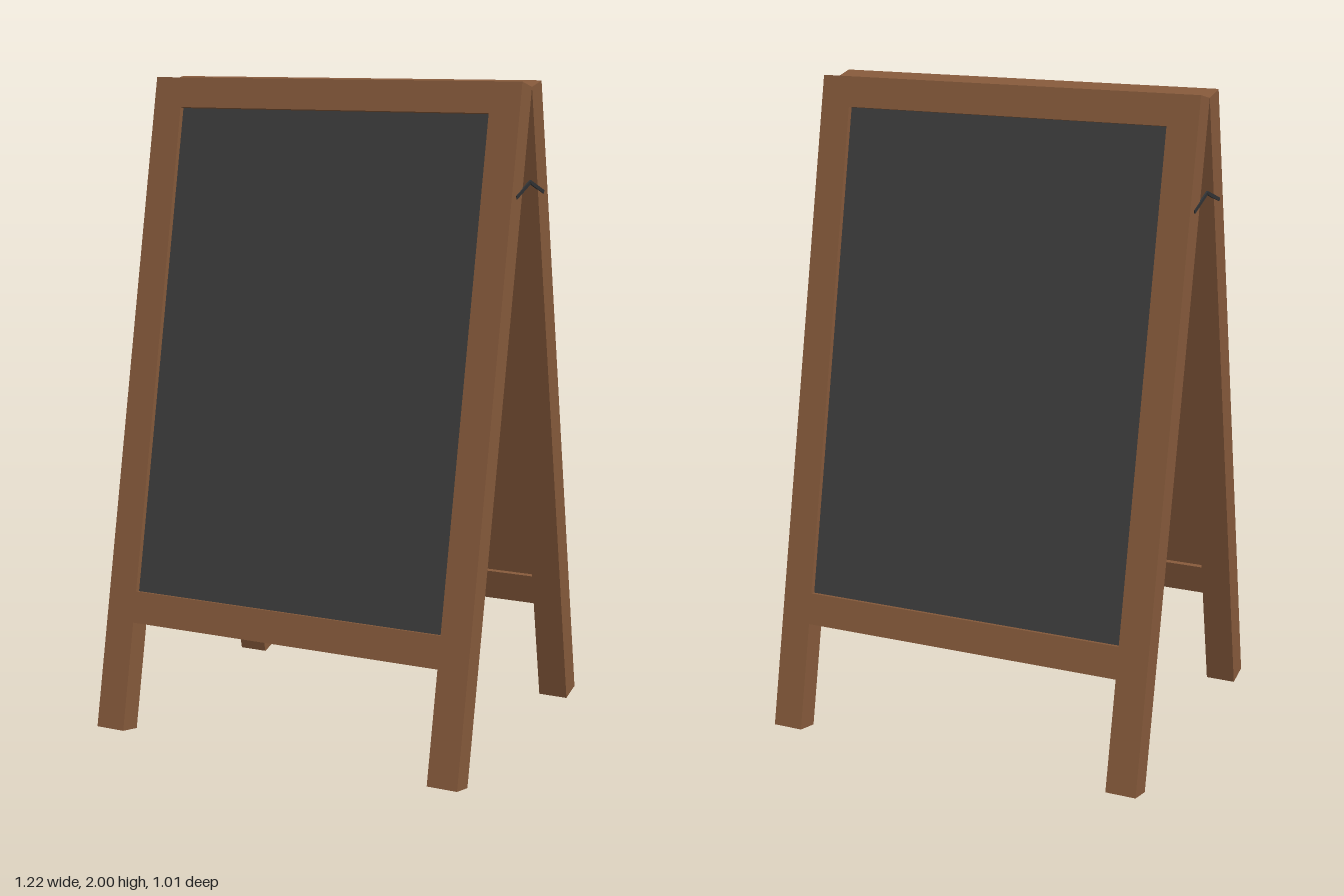
import * as THREE from 'three';

const LEAN = 0.2112, HEIGHT = 1.983, LENGTH = 2.028, THICK = 0.08;
const HALF = 0.605, INNER = 0.511; // half widths of frame and opening

export function createModel() {
  const wood = new THREE.MeshStandardMaterial({ name: 'brown wood', color: 0x865a3b });
  const slate = new THREE.MeshStandardMaterial({ name: 'slate grey', color: 0x3d3d3d });
  const metal = new THREE.MeshStandardMaterial({ name: 'dark metal', color: 0x303234 });

  const model = new THREE.Group();
  model.name = 'sandwichBoard';

  const add = (parent, name, geometry, material, x = 0, y = 0, z = 0) => {
    const mesh = new THREE.Mesh(geometry, material);
    mesh.name = name;
    mesh.position.set(x, y, z);
    parent.add(mesh);
    return mesh;
  };

  // Frame outline: two legs, top rail and bottom rail around an opening
  const railTop = -1.595, railBottom = -1.692, openTop = -0.092;
  const points = (list) => list.map(([x, y]) => new THREE.Vector2(x, y));
  const outline = new THREE.Shape(points([
    [-HALF, 0], [-HALF, -LENGTH], [-INNER, -LENGTH], [-INNER, railBottom],
    [INNER, railBottom], [INNER, -LENGTH], [HALF, -LENGTH], [HALF, 0],
  ]));
  outline.holes.push(new THREE.Path(points([
    [-INNER, openTop], [INNER, openTop], [INNER, railTop], [-INNER, railTop],
  ])));
  const frameGeometry = new THREE.ExtrudeGeometry(outline, { depth: THICK, bevelEnabled: false });

  // One leaning leaf, hinged along its inner top edge
  const openHeight = openTop - railTop, openMid = (openTop + railTop) / 2;
  const backing = new THREE.BoxGeometry(INNER * 2, openHeight, 0.04);
  const writing = new THREE.BoxGeometry(INNER * 2, openHeight, 0.008);
  for (const side of ['front', 'back']) {
    const turn = new THREE.Group();
    turn.name = side + 'Leaf';
    turn.rotation.y = side === 'front' ? 0 : Math.PI;
    const leaf = new THREE.Group();
    leaf.name = side + 'Panel';
    leaf.position.y = HEIGHT;
    leaf.rotation.x = -LEAN;
    add(leaf, 'frame', frameGeometry, wood);
    add(leaf, 'backingBoard', backing, wood, 0, openMid, 0.034);
    add(leaf, 'writingSurface', writing, slate, 0, openMid, 0.058);
    turn.add(leaf);
    model.add(turn);
  }

  // Hinge knuckles along the ridge
  const knuckle = new THREE.CylinderGeometry(0.004, 0.004, 0.085, 10).rotateZ(Math.PI / 2);
  for (const x of [-0.537, 0, 0.537]) add(model, 'hinge', knuckle, metal, x, HEIGHT + 0.002, 0);

  // Folding spreader stays on both sides
  const drop = 0.037, reach = 0.112;
  const arm = new THREE.BoxGeometry(0.005, 0.011, Math.hypot(drop, reach));
  const pin = new THREE.CylinderGeometry(0.005, 0.005, 0.007, 10).rotateZ(Math.PI / 2);
  for (const s of [-1, 1]) {
    const stay = new THREE.Group();
    stay.name = s > 0 ? 'leftStay' : 'rightStay';
    for (const d of [-1, 1]) {
      const bar = add(stay, 'stayArm', arm, metal, s * 0.605, 1.71 - drop / 2, d * reach / 2);
      bar.rotation.x = d * Math.atan2(drop, reach);
    }
    add(stay, 'stayPin', pin, metal, s * 0.606, 1.71, 0);
    model.add(stay);
  }
  return model;
}
